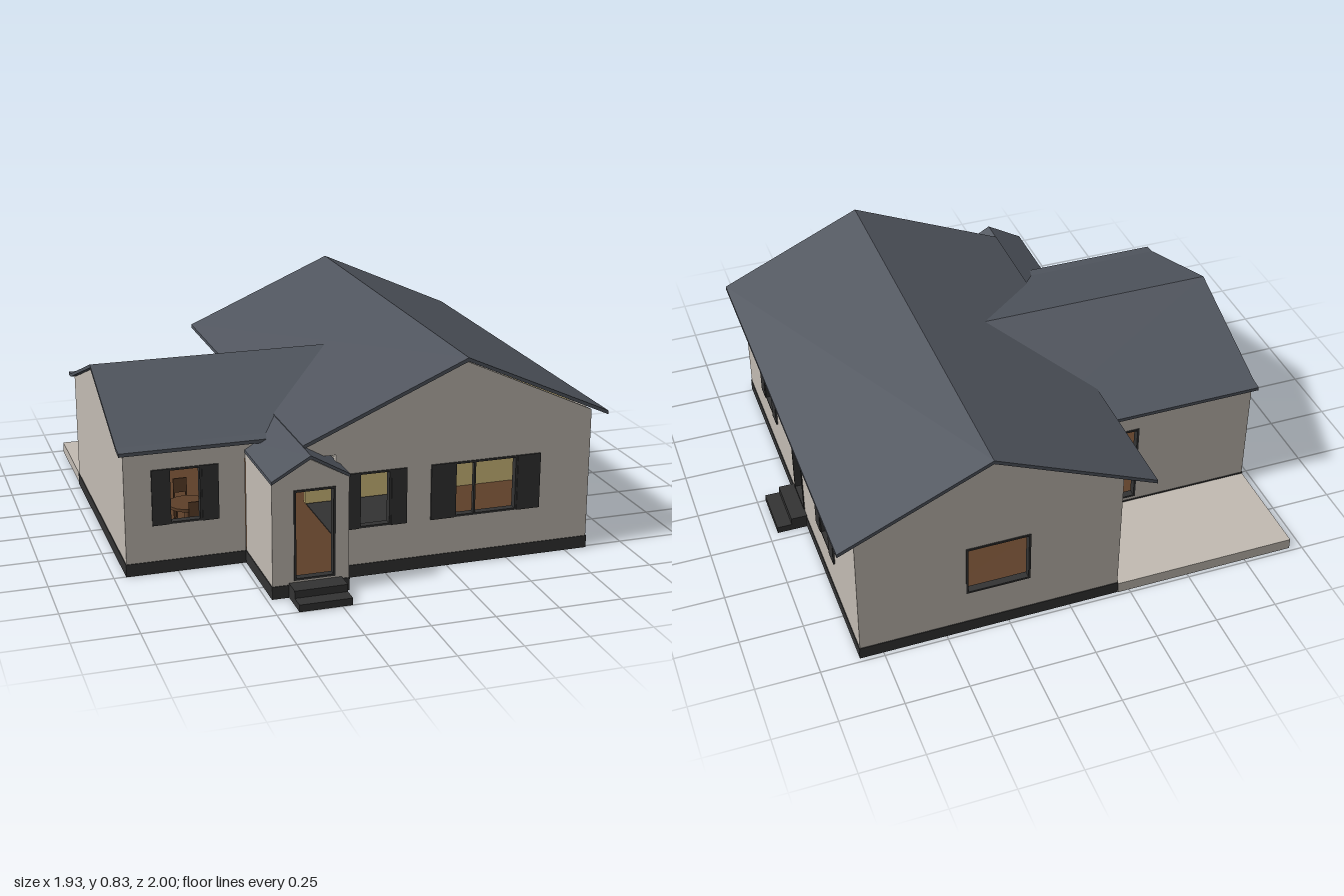
import * as THREE from 'three';

const mat = (name, color) => {
  const m = new THREE.MeshStandardMaterial({ color });
  m.name = name;
  return m;
};

export function createModel() {
  const house = new THREE.Group();
  house.name = 'house';
  const siding = mat('siding', 0xc3bcb3);
  const slate = mat('slate', 0x50555e);
  const dark = mat('charcoal', 0x333333);
  const plaster = mat('plaster', 0xd8c280);
  const wood = mat('woodFloor', 0x5e4029);

  const add = (parent, name, geometry, material) => {
    const m = new THREE.Mesh(geometry, material);
    m.name = name;
    parent.add(m);
    return m;
  };
  // box given by its minimum and maximum on each axis
  const box = (parent, name, material, x0, x1, y0, y1, z0, z1) => {
    const m = add(parent, name, new THREE.BoxGeometry(x1 - x0, y1 - y0, z1 - z0), material);
    m.position.set((x0 + x1) / 2, (y0 + y1) / 2, (z0 + z1) / 2);
    return m;
  };
  const shapeOf = pts => new THREE.Shape(pts.map(p => new THREE.Vector2(p[0], p[1])));
  const extrude = (shape, depth, z) =>
    new THREE.ExtrudeGeometry(shape, { depth, bevelEnabled: false }).translate(0, 0, z);

  // dark frame, mullion and shutters around an opening; local z = d is the outer wall face
  function trim(g, o, d) {
    const f = 0.008, a = d - 0.026, b = d + 0.004;
    box(g, 'frameSide', dark, o.u0, o.u0 + f, o.y0, o.y1, a, b);
    box(g, 'frameSide', dark, o.u1 - f, o.u1, o.y0, o.y1, a, b);
    box(g, 'frameTop', dark, o.u0 + f, o.u1 - f, o.y1 - f, o.y1, a, b);
    box(g, 'frameSill', dark, o.u0 + f, o.u1 - f, o.y0, o.y0 + f, a, b);
    if (o.mullion) box(g, 'mullion', dark, o.mullion - 0.004, o.mullion + 0.004, o.y0, o.y1, d - 0.018, d);
    if (o.shutter) {
      box(g, 'shutter', dark, o.u0 - o.shutter, o.u0, 0.197, 0.42, d, d + 0.007);
      box(g, 'shutter', dark, o.u1, o.u1 + o.shutter, 0.197, 0.42, d, d + 0.007);
    }
  }

  // wall facing local +z at distance d; top lists [u, y] from u1 back to u0
  function wall(name, angle, d, u0, u1, top, openings = []) {
    const g = new THREE.Group();
    g.name = name;
    g.rotation.y = angle;
    const skin = (part, material, inset, depth, z) => {
      const pts = top.map(([u, y]) => [Math.min(Math.max(u, u0 + inset), u1 - inset), y - inset / 4]);
      const s = shapeOf([[u0 + inset, 0.05], [u1 - inset, 0.05], ...pts]);
      for (const o of openings) {
        const h = new THREE.Path();
        h.moveTo(o.u0, o.y0).lineTo(o.u0, o.y1).lineTo(o.u1, o.y1).lineTo(o.u1, o.y0).closePath();
        s.holes.push(h);
      }
      add(g, part, extrude(s, depth, z), material);
    };
    skin('outerWall', siding, 0, 0.02, d - 0.02);
    skin('innerWall', plaster, 0.02, 0.004, d - 0.024);
    box(g, 'plinth', dark, u0 - 0.002, u1 + 0.002, 0, 0.05, d - 0.018, d + 0.003);
    box(g, 'wallFoot', siding, u0 + 0.02, u1 - 0.02, 0.002, 0.05, d - 0.024, d - 0.018);
    openings.forEach(o => trim(g, o, d));
    house.add(g);
  }
  const win = (u0, u1, shutter = 0, mullion = 0) => ({ u0, u1, y0: 0.197, y1: 0.42, shutter, mullion });
  const door = (u0, u1) => ({ u0, u1, y0: 0.065, y1: 0.42 });
  const flat = (u0, u1, y) => [[u1, y], [u0, y]];
  const Q = Math.PI / 2;

  // main block
  wall('mainFront', 0, 0.76, -0.2, 0.84, [[0.84, 0.575], [0.315, 0.815], [-0.2, 0.592]],
    [win(-0.11, 0.02, 0.062), win(0.275, 0.535, 0.095, 0.36)]);
  wall('mainRightSide', Q, 0.84, -0.76, 0.98, flat(-0.76, 0.98, 0.572),
    [win(-0.425, -0.295, 0.065), door(0.03, 0.18), win(0.473, 0.6, 0.065)]);
  wall('mainBack', 2 * Q, 0.98, -0.84, 0.2, [[0.2, 0.592], [-0.315, 0.815], [-0.84, 0.575]],
    [win(-0.42, -0.165)]);
  wall('mainInnerCorner', -Q, 0.2, -0.98, -0.55, flat(-0.98, -0.55, 0.588));
  // gable end carried out under the eave above the porch
  add(house, 'gableReturn', extrude(shapeOf([[-0.32, 0.5], [-0.2, 0.5], [-0.2, 0.592], [-0.32, 0.54]]), 0.02, 0.74), siding);

  // side wing
  wall('wingFront', 0, 0.5, -0.95, -0.48, flat(-0.95, -0.48, 0.495), [win(-0.78, -0.65, 0.065)]);
  wall('wingEnd', -Q, 0.95, -0.55, 0.5, [[0.5, 0.495], [0.48, 0.5], [-0.02, 0.683], [-0.52, 0.5], [-0.55, 0.495]]);
  wall('wingBack', 2 * Q, 0.55, 0.2, 0.95, flat(0.2, 0.95, 0.495), [door(0.3, 0.46)]);
  box(house, 'porchLintel', siding, -0.48, -0.2, 0.43, 0.498, 0.476, 0.5);

  // entry porch
  wall('porchFront', 0, 0.865, -0.478, -0.182, [[-0.182, 0.45], [-0.33, 0.533], [-0.478, 0.45]],
    [door(-0.395, -0.235)]);
  wall('porchRight', Q, -0.182, -0.865, -0.76, flat(-0.865, -0.76, 0.45));
  wall('porchLeft', -Q, 0.478, 0.5, 0.865, flat(0.5, 0.865, 0.45));

  // roofs: a line of [u, y] points from high u to low u, thickened downwards
  function roof(name, line, thick, depth, start, angle = 0) {
    const under = line.map(([u, y]) => [u, y - thick]).reverse();
    const m = add(house, name, extrude(shapeOf([...line, ...under]), depth, start), slate);
    m.rotation.y = angle;
  }
  roof('mainRoof', [[0.908, 0.566], [0.318, 0.832], [-0.33, 0.553]], 0.015, 1.77, -1);
  // local u runs along world z, local z along world -x
  roof('wingRoof', [[0.53, 0.508], [0.48, 0.515], [-0.02, 0.697], [-0.52, 0.515], [-0.57, 0.508]],
    0.014, 0.985, -0.015, -Q);
  roof('porchRoof', [[-0.18, 0.463], [-0.33, 0.549], [-0.48, 0.463]], 0.013, 0.51, 0.36);

  // floor and ceiling slabs, drawn as [x, z] plans
  const blockPlan = [[-0.93, -0.53], [-0.18, -0.53], [-0.18, -0.96], [0.82, -0.96], [0.82, 0.74], [-0.2, 0.74]];
  const slab = (name, material, plan, y, h) => {
    const m = add(house, name, extrude(shapeOf(plan.map(([x, z]) => [x, -z])), h, 0), material);
    m.rotation.x = -Q;
    m.position.y = y;
  };
  slab('floor', wood,
    [...blockPlan, [-0.2, 0.845], [-0.455, 0.845], [-0.455, 0.48], [-0.93, 0.48]], 0.03, 0.025);
  slab('ceiling', siding, [...blockPlan, [-0.2, 0.48], [-0.93, 0.48]], 0.478, 0.006);
  box(house, 'hallSlab', siding, -0.12, 0.26, 0.026, 0.05, 0.12, 0.735);
  box(house, 'hallMat', dark, -0.12, 0.24, 0.05, 0.059, 0.12, 0.735);

  // interior partitions [x0, x1, z0, z1]
  for (const [x0, x1, z0, z1] of [[0.1, 0.815, -0.39, -0.37], [0.55, 0.815, 0.09, 0.11],
    [-0.12, 0.45, 0.09, 0.11], [-0.2, -0.18, -0.53, -0.37], [0.24, 0.26, 0.11, 0.735]]) {
    box(house, 'partition', plaster, x0, x1, 0.05, 0.478, z0, z1);
    box(house, 'partitionFoot', siding, x0, x1, 0.024, 0.05, z0, z1);
  }

  // kitchen and dining furniture
  box(house, 'kitchenCounter', siding, -0.92, -0.72, 0.055, 0.214, -0.5, 0);
  box(house, 'counterTop', dark, -0.92, -0.715, 0.214, 0.224, -0.5, -0.055);
  box(house, 'upperCabinet', siding, -0.92, -0.715, 0.31, 0.45, -0.5, -0.055);
  const table = new THREE.Group();
  table.name = 'diningTable';
  table.position.set(-0.65, 0, 0.25);
  house.add(table);
  add(table, 'tableTop', new THREE.CylinderGeometry(0.08, 0.08, 0.012, 16), wood).position.y = 0.17;
  add(table, 'tableLeg', new THREE.CylinderGeometry(0.012, 0.02, 0.11, 8), wood).position.y = 0.11;
  for (let i = 0; i < 4; i++) {
    const chair = new THREE.Group();
    chair.name = 'chair';
    chair.rotation.y = i * Q;
    box(chair, 'chairSeat', wood, -0.028, 0.028, 0.115, 0.125, 0.085, 0.14);
    box(chair, 'chairBack', wood, -0.028, 0.028, 0.17, 0.23, 0.134, 0.14);
    for (const x of [-0.025, 0.025]) {
      box(chair, 'chairFrontLeg', wood, x - 0.003, x + 0.003, 0.055, 0.115, 0.087, 0.093);
      box(chair, 'chairBackLeg', wood, x - 0.003, x + 0.003, 0.055, 0.17, 0.134, 0.14);
    }
    table.add(chair);
  }

  // patio and steps
  box(house, 'patio', siding, -0.95, -0.204, 0, 0.046, -0.985, -0.554);
  box(house, 'frontStepUpper', dark, -0.415, -0.21, 0, 0.057, 0.85, 0.94);
  box(house, 'frontStepLower', dark, -0.415, -0.21, 0, 0.028, 0.94, 1);
  box(house, 'sideStepUpper', dark, 0.83, 0.905, 0, 0.057, -0.21, 0);
  box(house, 'sideStepLower', dark, 0.905, 0.965, 0, 0.028, -0.21, 0);

  return house;
}
